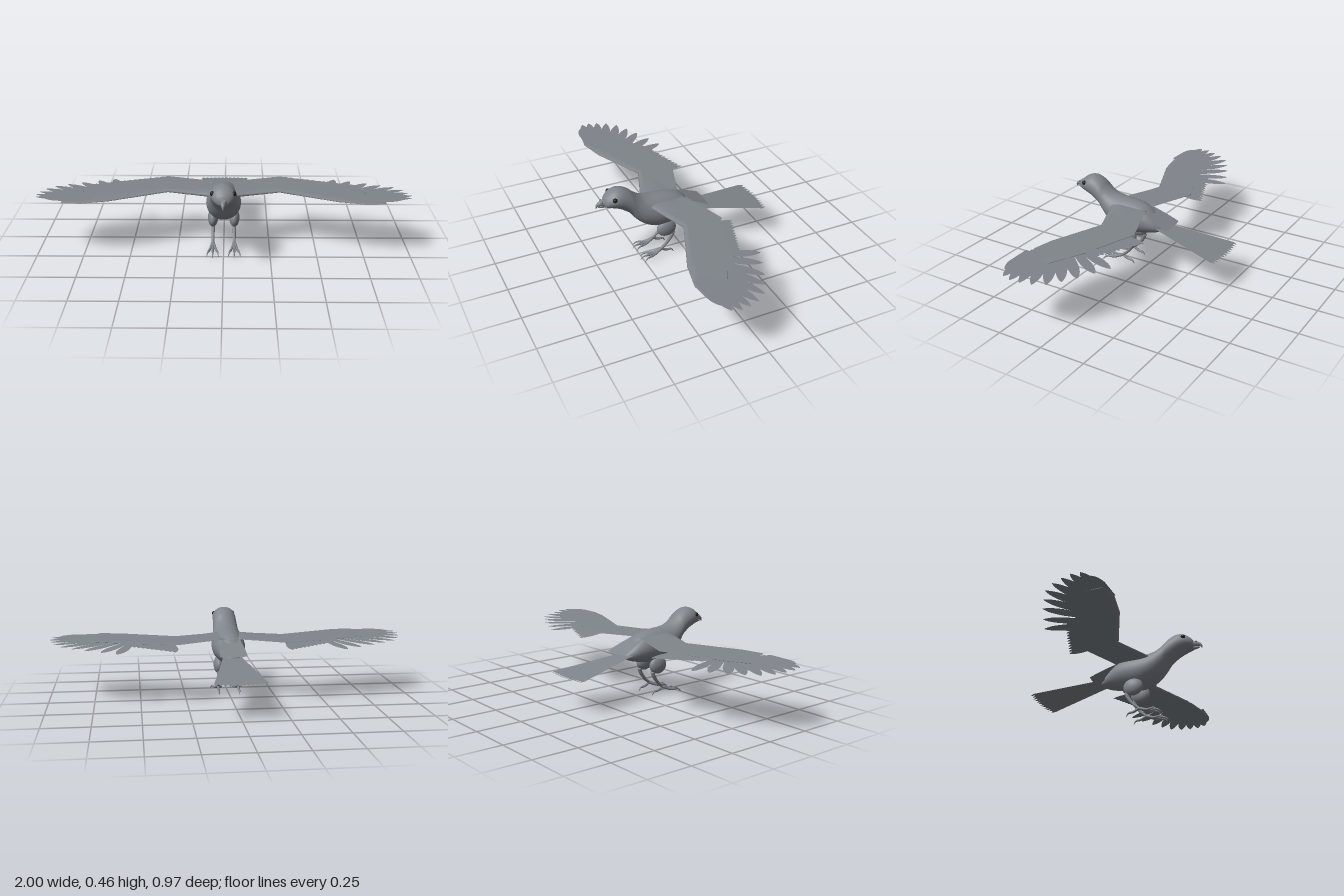
import * as THREE from 'three';

const plumage = new THREE.MeshStandardMaterial({ color: 0x80858b, side: THREE.DoubleSide });
plumage.name = 'grey plumage';
const skin = new THREE.MeshStandardMaterial({ color: 0x80858b });
skin.name = 'grey body';
const eyeDark = new THREE.MeshStandardMaterial({ color: 0x1f190c });
eyeDark.name = 'dark brown eye';

const V = (x, y, z) => new THREE.Vector3(x, y, z);
const lerp = THREE.MathUtils.lerp;

function add(parent, name, geometry, material = skin) {
  const mesh = new THREE.Mesh(geometry, material);
  mesh.name = name;
  parent.add(mesh);
  return mesh;
}

// Skin over closed rings of equal size, both ends closed
function loft(rings) {
  const close = (ring) => {
    const c = ring.reduce((s, p) => s.add(p), V(0, 0, 0)).divideScalar(ring.length);
    return ring.map(() => c);
  };
  const all = [close(rings[0]), ...rings, close(rings[rings.length - 1])];
  const n = rings[0].length, index = [];
  for (let i = 0; i < all.length - 1; i++) {
    for (let j = 0; j < n; j++) {
      const a = i * n + j, b = i * n + (j + 1) % n;
      index.push(a, a + n, b, b, a + n, b + n);
    }
  }
  const g = new THREE.BufferGeometry().setFromPoints(all.flat());
  g.setIndex(index);
  g.computeVertexNormals();
  return g;
}

const ringOf = (n, fn) => Array.from({ length: n }, (_, j) => fn(j / n * Math.PI * 2));

// Round tapering limb along a smooth path
function limb(points, radii, steps = 16, sides = 10) {
  const curve = new THREE.CatmullRomCurve3(points.map((p) => V(...p)));
  const { normals, binormals } = curve.computeFrenetFrames(steps);
  const rings = [];
  for (let i = 0; i <= steps; i++) {
    const f = i / steps * (radii.length - 1), k = Math.min(Math.floor(f), radii.length - 2);
    const r = lerp(radii[k], radii[k + 1], f - k), c = curve.getPointAt(i / steps);
    rings.push(ringOf(sides, (t) => c.clone()
      .addScaledVector(normals[i], r * Math.cos(t))
      .addScaledVector(binormals[i], -r * Math.sin(t))));
  }
  return loft(rings);
}

// Thin plate drawn in x and z, lifted by a height rule
function plate(shape, height) {
  const g = new THREE.ShapeGeometry(shape, 8);
  g.rotateX(Math.PI / 2);
  const p = g.attributes.position;
  for (let i = 0; i < p.count; i++) p.setY(i, height(p.getX(i), p.getZ(i)));
  g.computeVertexNormals();
  return g;
}

// Leaf-shaped feather from root to tip
function feather([rx, rz], [tx, tz], width, height) {
  const d = new THREE.Vector2(tx - rx, tz - rz), s = new THREE.Shape();
  const at = (u, v) => {
    const n = new THREE.Vector2(-d.y, d.x).normalize();
    return [rx + d.x * u + n.x * v * width, rz + d.y * u + n.y * v * width];
  };
  s.moveTo(...at(0, -0.3));
  s.lineTo(...at(0.6, -0.5));
  s.quadraticCurveTo(...at(0.88, -0.48), ...at(1, 0));
  s.quadraticCurveTo(...at(0.88, 0.48), ...at(0.6, 0.5));
  s.lineTo(...at(0, 0.3));
  return plate(s, height);
}

// Copy of a group on the other side, with faces turned back outward
function mirrored(group, name) {
  const copy = new THREE.Group();
  copy.name = name;
  for (const m of group.children) {
    const g = m.geometry.clone().scale(-1, 1, 1);
    g.setIndex(Array.from(g.index.array).reverse());
    g.computeVertexNormals();
    add(copy, m.name, g, m.material);
  }
  return copy;
}

function makeBody() {
  // z, top, bottom, half width
  const profile = [
    [0.445, 0.402, 0.375, 0.016], [0.435, 0.424, 0.367, 0.036], [0.42, 0.438, 0.364, 0.05],
    [0.4, 0.453, 0.358, 0.06], [0.37, 0.463, 0.346, 0.066], [0.34, 0.46, 0.328, 0.067],
    [0.3, 0.438, 0.295, 0.069], [0.27, 0.41, 0.254, 0.073], [0.23, 0.384, 0.216, 0.083],
    [0.18, 0.373, 0.189, 0.091], [0.13, 0.37, 0.179, 0.093], [0.05, 0.358, 0.188, 0.086],
    [0, 0.338, 0.197, 0.075], [-0.05, 0.295, 0.21, 0.055], [-0.09, 0.25, 0.228, 0.025],
  ];
  const across = new THREE.CatmullRomCurve3(profile.map(([z, t, b]) => V(t, b, z)));
  const wide = new THREE.CatmullRomCurve3(profile.map(([z, , , w]) => V(w, 0, z)));
  const rings = [];
  for (let i = 0; i <= 56; i++) {
    const p = across.getPoint(i / 56), w = wide.getPoint(i / 56).x;
    rings.push(ringOf(32, (t) =>
      V(w * Math.cos(t), (p.x + p.y) / 2 + (p.x - p.y) / 2 * Math.sin(t), p.z)));
  }
  return loft(rings);
}

function makeWing() {
  const wing = new THREE.Group();
  wing.name = 'leftWing';

  // Fleshy arm: x, leading z, trailing z, height, half thickness
  const stations = [
    [0.03, 0.22, 0, 0.335, 0.02], [0.085, 0.2, -0.015, 0.333, 0.02], [0.3, 0.12, -0.09, 0.325, 0.015],
    [0.6, 0.245, 0.02, 0.32, 0.011], [0.75, 0.278, 0.1, 0.317, 0.006], [0.85, 0.262, 0.17, 0.313, 0.002],
  ];
  add(wing, 'wingArm', loft(stations.map(([x, lead, trail, y, th]) => ringOf(20, (t) => {
    const c = Math.cos(t);
    return V(x, y + th * Math.sin(t) * (0.6 + 0.4 * c), (lead + trail) / 2 + (lead - trail) / 2 * c);
  }))));

  // Long spread feathers at the wing tip
  const tips = [[0.62, -0.155], [0.705, -0.12], [0.795, -0.08], [0.865, -0.04], [0.93, 0],
    [0.97, 0.055], [0.99, 0.11], [1, 0.16], [0.99, 0.205], [0.94, 0.235]];
  tips.forEach((tip, i) => {
    const u = i / (tips.length - 1);
    add(wing, 'primaryFeather', feather([lerp(0.54, 0.73, u), lerp(0.1, 0.258, u)], tip, 0.058,
      (x, z) => 0.302 + 0.05 * z + 0.0018 * i), plumage);
  });

  // Short close feathers behind the forearm
  for (let i = 0; i < 12; i++) {
    const u = i / 11;
    add(wing, 'secondaryFeather', feather([lerp(0.32, 0.57, u), lerp(0.03, 0.11, u)],
      [lerp(0.315, 0.575, u), lerp(-0.157, -0.06, u)], 0.044,
      (x, z) => 0.31 + 0.07 * z + 0.0012 * i), plumage);
  }

  // Upper covering feathers with a scalloped rear edge
  const s = new THREE.Shape();
  s.moveTo(0.06, 0.17);
  s.lineTo(0.3, 0.1);
  s.lineTo(0.6, 0.215);
  s.lineTo(0.71, 0.238);
  s.quadraticCurveTo(0.74, 0.235, 0.735, 0.2);
  s.lineTo(0.735, 0.075);
  s.quadraticCurveTo(0.735, 0.06, 0.71, 0.048);
  const n = 14;
  for (let i = 0; i < n; i++) {
    const at = (u) => [lerp(0.71, 0.3, u), lerp(0.048, -0.09, u)];
    const [mx, mz] = at((i + 0.5) / n);
    s.quadraticCurveTo(mx + 0.005, mz - 0.014, ...at((i + 1) / n));
  }
  s.lineTo(0.06, -0.01);
  add(wing, 'wingCoverts', plate(s, (x, z) => 0.34 + 0.03 * z - 0.006 * x), plumage);
  return wing;
}

function makeLeg() {
  const leg = new THREE.Group();
  leg.name = 'leftLeg';
  const x = 0.058;
  add(leg, 'thigh', new THREE.SphereGeometry(1, 28, 20).scale(0.028, 0.049, 0.056).translate(x, 0.172, 0.108));
  add(leg, 'shank', limb([[x, 0.14, 0.068], [x, 0.115, 0.077], [x, 0.075, 0.105], [x, 0.04, 0.143]],
    [0.012, 0.01, 0.008, 0.008]));
  // Three front toes and one rear toe, each ending in a claw
  for (const [dx, reach] of [[-0.032, 0.9], [0, 1], [0.032, 0.9]]) {
    const p = (u, y) => [x + dx * u, y, 0.14 + 0.125 * u * reach];
    add(leg, 'frontToe', limb([p(0, 0.042), p(0.45, 0.022), p(0.85, 0.02), p(1, 0.004)],
      [0.008, 0.007, 0.006, 0.0015]));
  }
  add(leg, 'rearToe', limb([[x, 0.042, 0.142], [x, 0.025, 0.107], [x, 0.021, 0.08], [x, 0.004, 0.067]],
    [0.008, 0.007, 0.006, 0.0015]));
  return leg;
}

function makeTail() {
  const s = new THREE.Shape(), n = 12, half = 0.139;
  s.moveTo(-0.045, -0.04);
  s.quadraticCurveTo(-0.08, -0.2, -half, -0.45);
  for (let i = 0; i < n; i++) {
    const at = (u) => lerp(-half, half, u), rear = (u) => -0.472 - 0.014 * Math.sin(u * Math.PI);
    const mid = (i + 0.5) / n, end = (i + 1) / n;
    s.lineTo(at(mid), rear(mid));
    s.lineTo(at(end), i === n - 1 ? -0.45 : rear(end) + 0.023);
  }
  s.quadraticCurveTo(0.08, -0.2, 0.045, -0.04);
  return plate(s, (x, z) => 0.258 + 0.152 * z);
}

export function createModel() {
  const bird = new THREE.Group();
  bird.name = 'bird';
  add(bird, 'body', makeBody());

  // Hooked beak
  add(bird, 'upperBeak', limb([[0, 0.392, 0.425], [0, 0.393, 0.458], [0, 0.385, 0.478], [0, 0.368, 0.487]],
    [0.024, 0.018, 0.01, 0.002], 20, 16));
  add(bird, 'lowerBeak', limb([[0, 0.378, 0.425], [0, 0.373, 0.455], [0, 0.373, 0.474]], [0.014, 0.01, 0.003]));

  for (const side of [1, -1]) {
    add(bird, 'nostril', new THREE.SphereGeometry(0.007, 12, 8).translate(side * 0.011, 0.404, 0.455));
    add(bird, 'eye', new THREE.SphereGeometry(0.0125, 20, 14).translate(side * 0.054, 0.423, 0.396), eyeDark);
  }

  // Tail and the feathers over its base
  add(bird, 'tail', makeTail(), plumage);
  const rump = new THREE.Shape();
  rump.moveTo(-0.03, 0.05);
  rump.quadraticCurveTo(-0.065, -0.02, -0.075, -0.14);
  rump.quadraticCurveTo(0, -0.152, 0.075, -0.14);
  rump.quadraticCurveTo(0.065, -0.02, 0.03, 0.05);
  add(bird, 'tailCoverts', plate(rump, (x, z) => 0.328 + 0.45 * z), plumage);

  const wing = makeWing(), leg = makeLeg();
  bird.add(wing, mirrored(wing, 'rightWing'), leg, mirrored(leg, 'rightLeg'));
  return bird;
}
